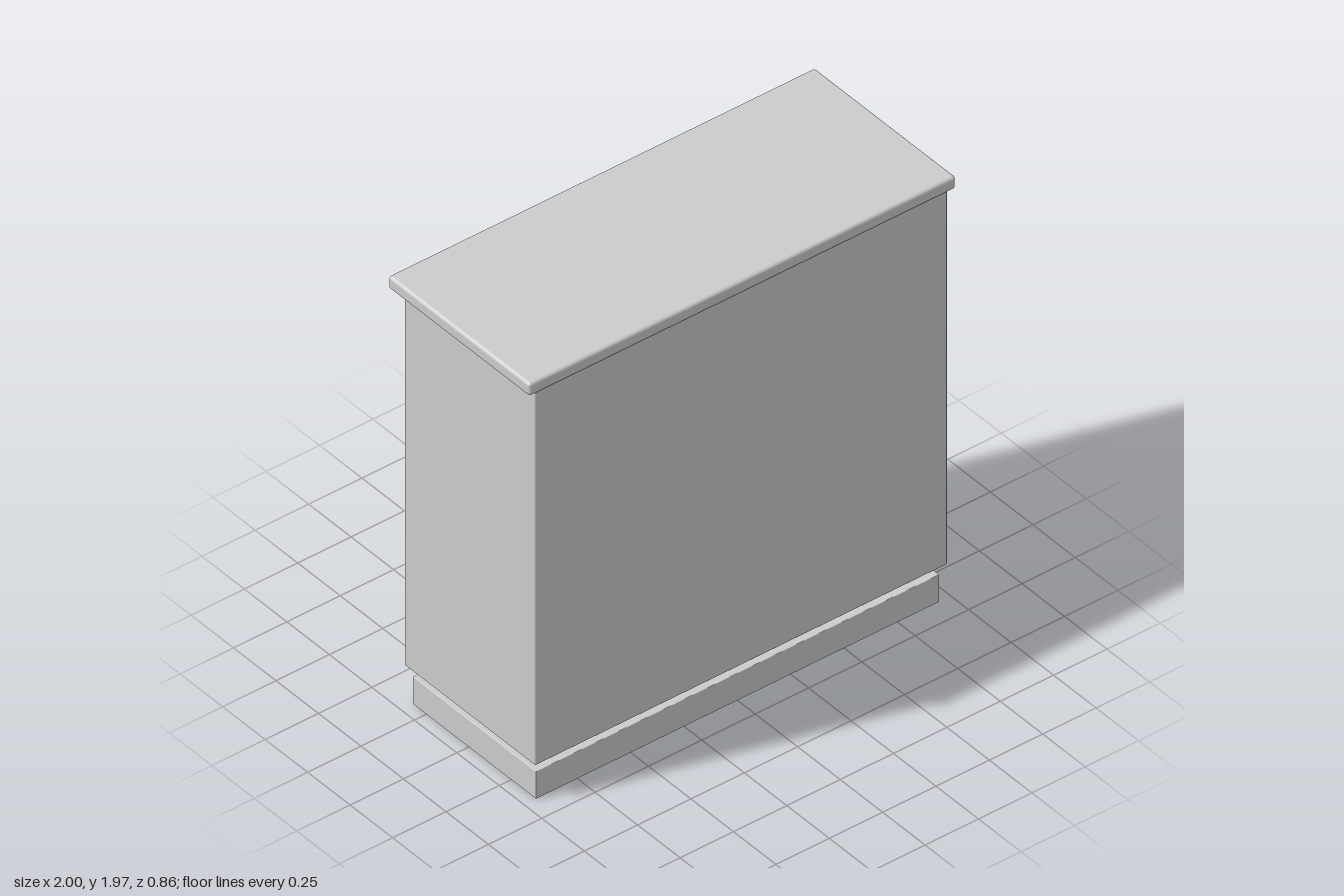
import * as THREE from 'three';
import { RoundedBoxGeometry } from 'three/addons/geometries/RoundedBoxGeometry.js';

const paint = new THREE.MeshStandardMaterial({ name: 'grey paint', color: 0xcccccc });

// Box given by its minimum and maximum corners, with softly rounded edges
function slab(name, [x0, y0, z0], [x1, y1, z1], radius) {
  const geometry = new RoundedBoxGeometry(x1 - x0, y1 - y0, z1 - z0, 3, radius);
  const mesh = new THREE.Mesh(geometry, paint);
  mesh.name = name;
  mesh.position.set((x0 + x1) / 2, (y0 + y1) / 2, (z0 + z1) / 2);
  return mesh;
}

// Upright barrel-shaped handle
function makeKnob(x) {
  const profile = [[0, -0.053], [0.01, -0.052], [0.015, -0.046], [0.0185, -0.03], [0.021, 0],
    [0.0185, 0.03], [0.015, 0.046], [0.01, 0.052], [0, 0.053]];
  const geometry = new THREE.LatheGeometry(profile.map(([r, y]) => new THREE.Vector2(r, y)), 20);
  const knob = new THREE.Mesh(geometry, paint);
  knob.name = 'knob';
  knob.position.set(x, 1.203, -0.409);
  return knob;
}

// Door with its raised panel and knob; side is +1 or -1
function makeDoor(side) {
  const door = new THREE.Group();
  door.name = side > 0 ? 'leftDoor' : 'rightDoor';
  const cx = side * 0.487;
  door.add(
    slab('doorLeaf', [cx - 0.458, 0.264, -0.378], [cx + 0.458, 1.85, -0.352], 0.005),
    slab('doorPanel', [cx - 0.335, 0.412, -0.387], [cx + 0.335, 1.702, -0.37], 0.002),
    makeKnob(side * 0.087)
  );
  return door;
}

export function createModel() {
  const cabinet = new THREE.Group();
  cabinet.name = 'cabinet';
  cabinet.add(
    slab('plinth', [-0.945, 0, -0.33], [0.945, 0.128, 0.397], 0.003),
    slab('body', [-0.966, 0.177, -0.351], [0.966, 1.912, 0.418], 0.006),
    slab('topBoard', [-1, 1.91, -0.406], [1, 1.969, 0.427], 0.014),
    makeDoor(1),
    makeDoor(-1)
  );
  return cabinet;
}
